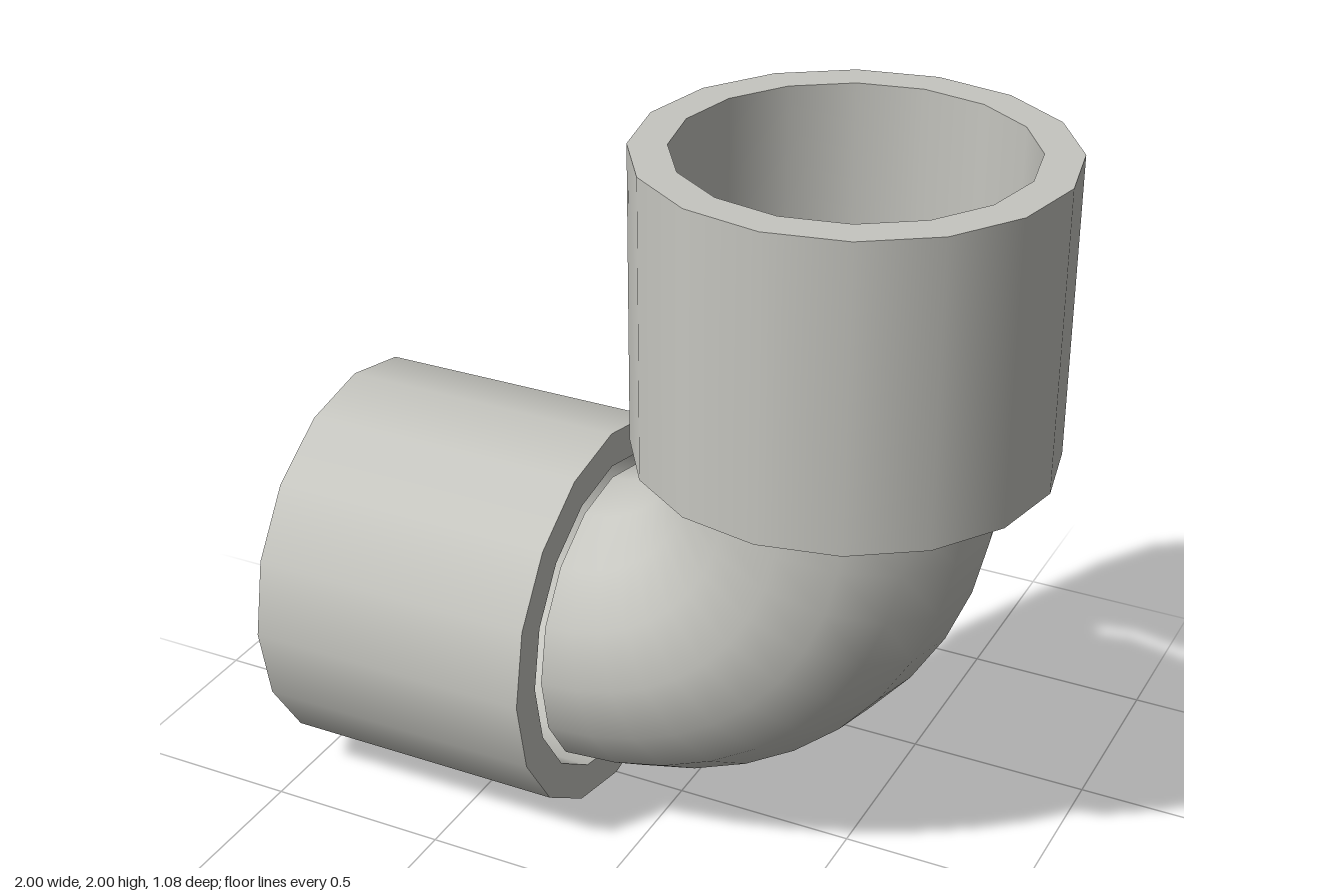
import * as THREE from 'three';
import { mergeGeometries } from 'three/addons/utils/BufferGeometryUtils.js';

const SIDES = 16;
const BEND = 0.66;                      // centre-line radius of the elbow
const PIPE_OUT = 0.41, PIPE_IN = 0.31;  // elbow pipe radii
const SOCKET_OUT = 0.54, SOCKET_IN = 0.443, SOCKET_LENGTH = 0.795;

// Lathe each profile segment on its own so the rims stay sharp
function sharpLathe(points) {
  const parts = [];
  for (let i = 0; i < points.length - 1; i++) {
    const pair = [points[i], points[i + 1]].map(([r, y]) => new THREE.Vector2(r, y));
    parts.push(new THREE.LatheGeometry(pair, SIDES));
  }
  return mergeGeometries(parts);
}

// Turn a surface inside out
function flip(geometry) {
  geometry.index.array.reverse();
  const n = geometry.attributes.normal;
  for (let i = 0; i < n.count; i++) n.setXYZ(i, -n.getX(i), -n.getY(i), -n.getZ(i));
  return geometry;
}

export function createModel() {
  const model = new THREE.Group();
  model.name = 'pipeElbow';
  const plastic = new THREE.MeshStandardMaterial({ color: 0xc6c6c0 });
  plastic.name = 'light grey plastic';

  const add = (name, geometry, parent) => {
    const mesh = new THREE.Mesh(geometry, plastic);
    mesh.name = name;
    parent.add(mesh);
    return mesh;
  };

  // Quarter bend, outer and inner walls
  const elbow = new THREE.Group();
  elbow.name = 'elbow';
  elbow.position.set(-0.205, 1.205, 0);
  model.add(elbow);
  const bend = (radius) => new THREE.TorusGeometry(BEND, radius, SIDES, 10, Math.PI / 2).rotateZ(-Math.PI / 2);
  add('elbowOuterWall', bend(PIPE_OUT), elbow);
  add('elbowInnerWall', flip(bend(PIPE_IN)), elbow);

  // A socket and an elbow rim at each end
  const rim = sharpLathe([[PIPE_OUT, 0], [PIPE_IN, 0]]);
  const socket = sharpLathe([
    [SOCKET_OUT, 0], [SOCKET_OUT, SOCKET_LENGTH],
    [SOCKET_IN, SOCKET_LENGTH], [SOCKET_IN, 0], [SOCKET_OUT, 0],
  ]);
  const ends = [
    { name: 'upper', x: BEND, y: 0, turn: 0 },
    { name: 'side', x: 0, y: -BEND, turn: Math.PI / 2 },
  ];
  for (const { name, x, y, turn } of ends) {
    const end = new THREE.Group();
    end.name = name + 'End';
    end.position.set(x, y, 0);
    end.rotation.z = turn;
    elbow.add(end);
    add(name + 'ElbowRim', rim, end);
    add(name + 'Socket', socket, end);
  }
  return model;
}
